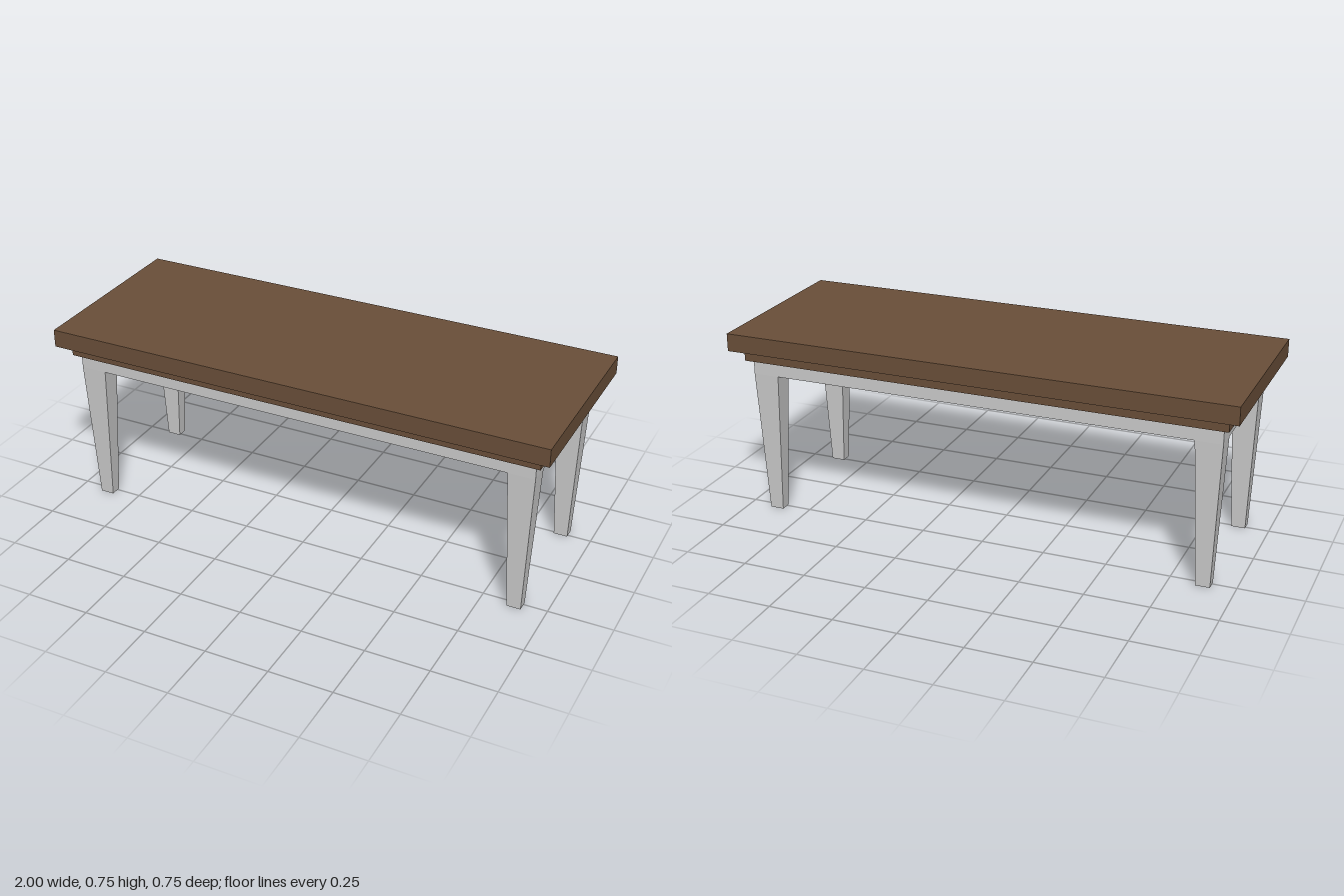
import * as THREE from 'three';

export function createModel() {
  const group = new THREE.Group();
  const wood = new THREE.MeshStandardMaterial({ color: 0x6a4f39, flatShading: true });
  const grey = new THREE.MeshStandardMaterial({ color: 0xcccccc, flatShading: true });

  const add = (name, geometry, material, x, y, z) => {
    const mesh = new THREE.Mesh(geometry, material);
    mesh.name = name;
    mesh.position.set(x, y, z);
    group.add(mesh);
  };

  // Stepped wooden top
  add('tableTop', new THREE.BoxGeometry(2, 0.07, 0.746), wood, 0, 0.717, 0);
  add('lowerTop', new THREE.BoxGeometry(1.91, 0.048, 0.656), wood, 0, 0.658, 0);

  // Rectangular apron ring, open in the middle
  const rect = (Type, x, z) => new Type([
    new THREE.Vector2(-x, -z), new THREE.Vector2(x, -z),
    new THREE.Vector2(x, z), new THREE.Vector2(-x, z),
  ]);
  const ring = rect(THREE.Shape, 0.932, 0.302);
  ring.holes.push(rect(THREE.Path, 0.829, 0.221));
  const apron = new THREE.ExtrudeGeometry(ring, { depth: 0.059, bevelEnabled: false });
  apron.rotateX(-Math.PI / 2);
  add('apron', apron, grey, 0, 0.575, 0);

  // Four legs, tapering evenly towards the floor
  const legGeometry = new THREE.BoxGeometry(0.103, 0.575, 0.081);
  const p = legGeometry.attributes.position;
  for (let i = 0; i < p.count; i++) {
    if (p.getY(i) < 0) {
      p.setX(i, p.getX(i) * 0.53);
      p.setZ(i, p.getZ(i) * 0.53);
    }
  }
  legGeometry.computeVertexNormals();
  for (const [side, sx] of [['Left', 1], ['Right', -1]]) {
    for (const [end, sz] of [['front', 1], ['back', -1]]) {
      add(`${end}${side}Leg`, legGeometry, grey, sx * 0.8805, 0.2875, sz * 0.2615);
    }
  }
  return group;
}
